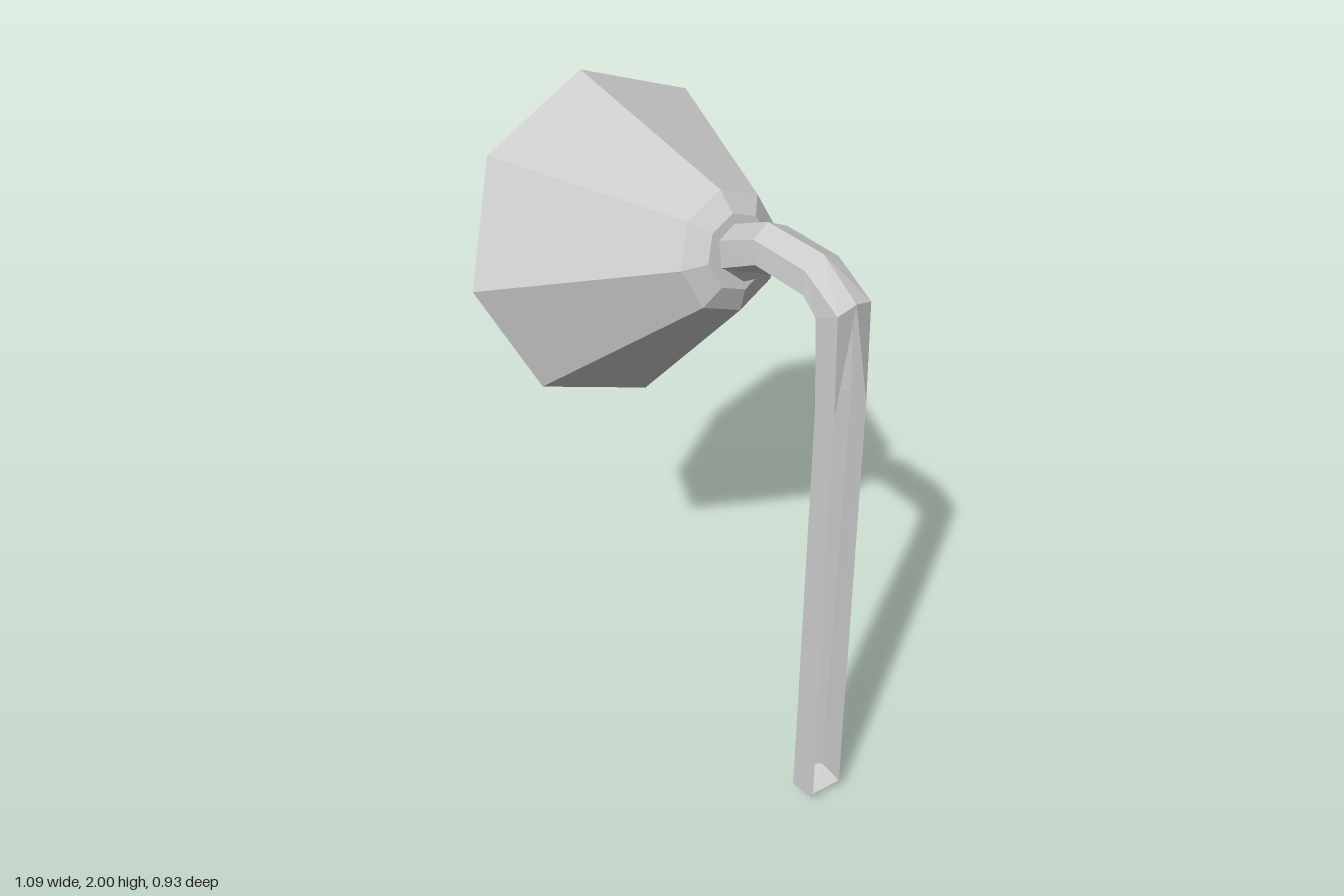
import * as THREE from 'three';

const grey = new THREE.MeshStandardMaterial({ color: 0xcccccc, flatShading: true, side: THREE.DoubleSide });
grey.name = 'grey';

// Eight-sided turned part from [radius, height] pairs
function turned(name, profile) {
  const geo = new THREE.LatheGeometry(profile.map(([r, y]) => new THREE.Vector2(r, y)), 8);
  const mesh = new THREE.Mesh(geo, grey);
  mesh.name = name;
  return mesh;
}

// Bent stem: each ring gives inner edge, middle pair, outer pair and outer ridge in x, y
function buildStem() {
  const rings = [
    [[0.10, 1.64], [0.09, 1.70], [0.085, 1.775], [0.08, 1.80]],
    [[0.235, 1.725], [0.235, 1.775], [0.22, 1.835], [0.21, 1.86]],
    [[0.39, 1.735], [0.405, 1.77], [0.40, 1.83], [0.405, 1.857]],
    [[0.42, 1.70], [0.45, 1.73], [0.515, 1.76], [0.52, 1.775]],
    [[0.425, 1.48], [0.465, 1.48], [0.525, 1.48]],
    [[0.415, 0.07], [0.46, 0.07], [0.54, 0.07]],
    [[0.487, 0], [0.487, 0], [0.487, 0]],
  ];
  const halfWidth = [0, 0.061, 0.054, 0];
  const pos = [];
  for (const side of [1, -1]) {
    const point = (i, j) => {
      const [x, y] = rings[i][j];
      return [x, y, i === rings.length - 1 ? 0 : side * halfWidth[j]];
    };
    const tri = (a, b, c) => pos.push(...a, ...(side > 0 ? [...b, ...c] : [...c, ...b]));
    for (let i = 0; i < rings.length - 1; i++) {
      for (let j = 0; j < rings[i].length - 1; j++) {
        const a = point(i, j), b = point(i, j + 1), c = point(i + 1, j);
        // the outer ridge ends at the bend, leaving the post open at the back
        if (j + 1 < rings[i + 1].length) {
          const d = point(i + 1, j + 1);
          tri(a, c, b);
          if (i < rings.length - 2) tri(b, c, d);
        } else {
          tri(a, c, b);
        }
      }
      // lower point: close each strip onto the tip
    }
  }
  const geo = new THREE.BufferGeometry();
  geo.setAttribute('position', new THREE.Float32BufferAttribute(pos, 3));
  geo.computeVertexNormals();
  const mesh = new THREE.Mesh(geo, grey);
  mesh.name = 'stem';
  return mesh;
}

export function createModel() {
  const model = new THREE.Group();
  model.name = 'lamp';

  // Tilted head, local origin at the centre of the rim
  const head = new THREE.Group();
  head.name = 'lampHead';
  head.position.set(-0.425, 1.55, 0);
  head.rotation.z = -THREE.MathUtils.degToRad(75);

  const shade = turned('shade', [
    [0, 0.42], [0.13, 0.42], [0.41, 0.0], [0.466, 0],
    [0.16, 0.525], [0.1, 0.56], [0, 0.56],
  ]);
  // lean the shade slightly upward toward its neck
  const p = shade.geometry.attributes.position;
  for (let i = 0; i < p.count; i++) p.setX(i, p.getX(i) - 0.07 * p.getY(i));
  shade.geometry.computeVertexNormals();

  const bulb = turned('bulb', [[0, -0.08], [0.2, 0.05], [0.2, 0.16], [0.1, 0.3], [0.09, 0.43]]);
  head.add(shade, bulb);

  model.add(head, buildStem());
  return model;
}
